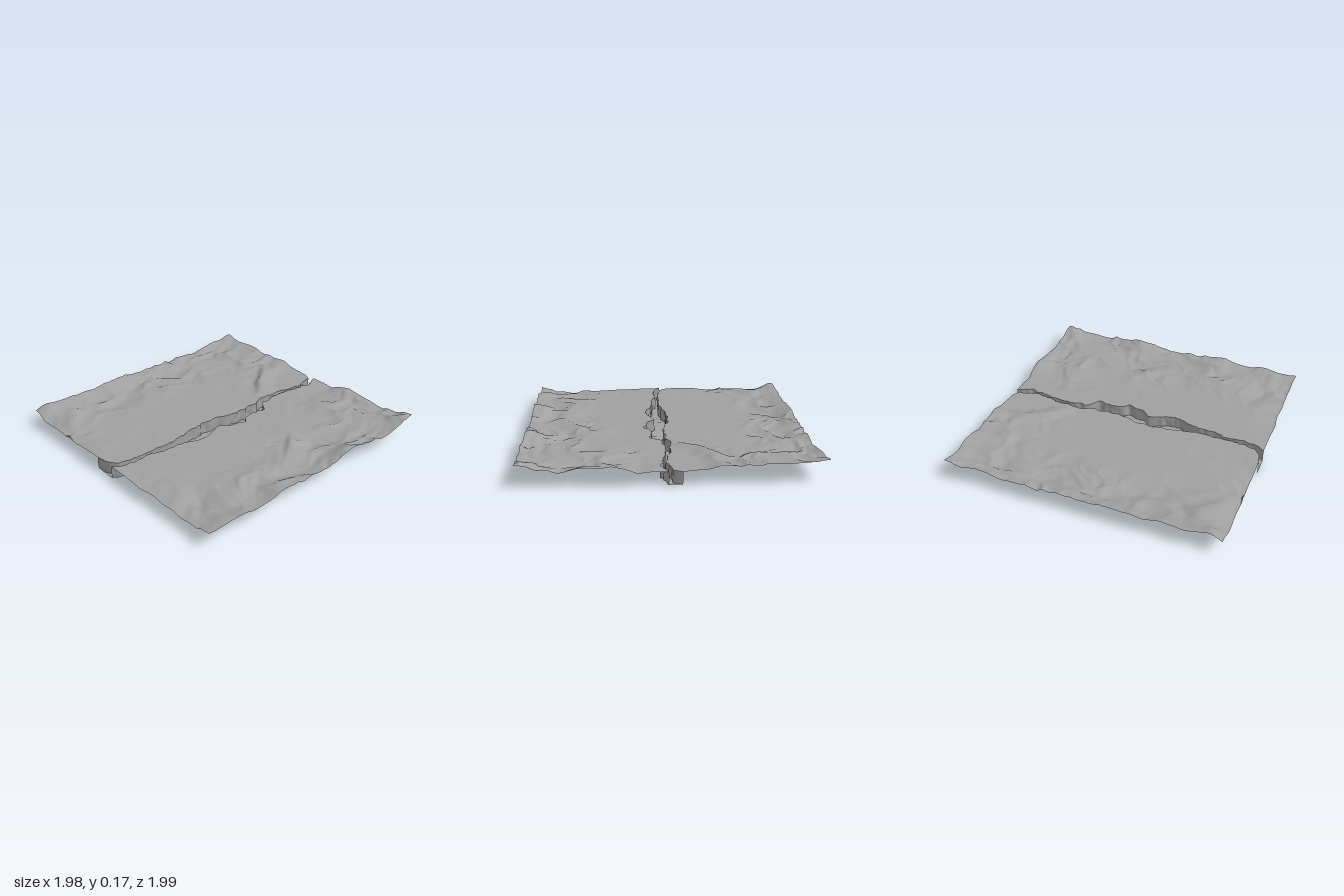
import * as THREE from 'three';

const ROWS = 180;
const smooth = (a, b, v) => THREE.MathUtils.smoothstep(v, a, b);

// Seeded lattice noise, roughly -1..1
function hash(i, j) {
  let h = Math.imul(i, 374761393) + Math.imul(j, 668265263);
  h = Math.imul(h ^ (h >>> 13), 1274126177);
  return ((h ^ (h >>> 16)) >>> 0) / 2147483648 - 1;
}
function noise(x, z) {
  const i = Math.floor(x), j = Math.floor(z);
  const u = smooth(0, 1, x - i), v = smooth(0, 1, z - j);
  const a = hash(i, j) * (1 - u) + hash(i + 1, j) * u;
  const b = hash(i, j + 1) * (1 - u) + hash(i + 1, j + 1) * u;
  return a * (1 - v) + b * v;
}
// Warped layers with creases, for an eroded look
function eroded(x, z) {
  const wx = x + 0.1 * noise(x * 5, z * 5 + 30), wz = z + 0.1 * noise(x * 5 + 50, z * 5);
  return noise(wx * 3.5, wz * 3.5) * 0.6 + (0.35 - Math.abs(noise(wx * 6 + 7, wz * 6))) * 0.7
    + noise(wx * 14, wz * 14 + 5) * 0.22 + noise(wx * 28, wz * 28) * 0.08;
}

// Canyon rims as [z, x] points
const LEFT_RIM = [[-0.99, -0.06], [-0.96, 0], [-0.83, 0.025], [-0.72, 0.01], [-0.61, -0.005], [-0.45, -0.03],
  [-0.35, 0.01], [-0.13, 0.01], [0.05, -0.035], [0.29, -0.025], [0.45, 0.015], [0.67, 0.005], [0.83, 0.005],
  [0.93, -0.025], [0.965, -0.06], [0.98, -0.17]];
const RIGHT_RIM = [[-0.99, 0.03], [-0.88, 0.065], [-0.72, 0.03], [-0.51, 0.022], [-0.4, 0.03], [-0.33, 0.115],
  [-0.19, 0.095], [-0.1, 0.145], [0.04, 0.12], [0.08, 0.065], [0.21, 0.12], [0.32, 0.12], [0.45, 0.08],
  [0.56, 0.065], [0.67, 0.04], [0.77, 0.045], [0.93, 0.03], [0.98, -0.015]];
function rimAt(points, z, seed) {
  let k = 0;
  while (k < points.length - 2 && z > points[k + 1][0]) k++;
  const [z0, x0] = points[k], [z1, x1] = points[k + 1];
  const t = THREE.MathUtils.clamp((z - z0) / (z1 - z0), 0, 1);
  return x0 + (x1 - x0) * t + 0.008 * noise(z * 22, seed) + 0.007 * noise(z * 55, seed + 9);
}
const leftRim = z => rimAt(LEFT_RIM, z, 3);
const rightRim = z => rimAt(RIGHT_RIM, z, 21);

// Sharp crest: steep on its left side, gentle on its right
function crest(x, z, ax, az, bx, bz, h) {
  const dx = bx - ax, dz = bz - az, len = Math.hypot(dx, dz);
  const t = ((x - ax) * dx + (z - az) * dz) / (len * len);
  if (t < 0 || t > 1) return 0;
  const d = ((x - ax) * dz - (z - az) * dx) / len + 0.012 * noise(t * 5, ax * 10);
  return h * Math.sin(Math.PI * t) ** 0.7 * (d < 0 ? smooth(-0.045, 0, d) : 1 - smooth(0, 0.14, d));
}
const bump = (x, z, cx, cz, r, h) => h * Math.exp(-((x - cx) ** 2 + (z - cz) ** 2) / (r * r));
function crater(x, z, cx, cz, r) {
  const d = Math.hypot(x - cx, z - cz) / r;
  return 0.0012 * Math.exp(-(((d - 1) / 0.2) ** 2)) - 0.002 * (1 - smooth(0.3, 1, d));
}

// Flat plain around the canyon, rough ground rising to the sides and back
function height(x, z) {
  const ax = Math.abs(x), wob = 0.08 * noise(x * 4 + 9, z * 4);
  const side = smooth(0.36, 0.66, (x < 0 ? -x - 0.08 : x) + wob);
  const back = smooth(0.4, 0.72, -z + wob) * smooth(0.04, 0.3, ax);
  const front = smooth(0.65, 0.95, z + wob) * smooth(0.08, 0.35, ax) * 0.8;
  const rough = Math.max(side, back, front);
  const edge = 0.03 * smooth(0.82, 1, ax) + 0.02 * smooth(0.85, 1, -z) * smooth(0.1, 0.4, ax)
    - 0.012 * smooth(0.8, 0.98, z) * smooth(0.1, 0.3, ax);
  return 0.106 + 0.031 * rough * eroded(x + 3, z + 8) + 0.004 * rough + edge
    + crest(x, z, -0.4, -0.83, -0.07, -0.45, 0.035)
    + crest(x, z, 0.48, -0.24, 0.78, 0.15, 0.026)
    + bump(x, z, 0.45, -0.2, 0.09, 0.012)
    + bump(x, z, -0.95, 0.9, 0.08, 0.04) + bump(x, z, 0.94, -0.3, 0.14, 0.035)
    + bump(x, z, 0.9, -0.93, 0.1, 0.035) + bump(x, z, 0.97, 0.33, 0.09, 0.02)
    + bump(x, z, -0.5, -0.85, 0.12, 0.015)
    + crater(x, z, -0.2, 0.58, 0.11) + crater(x, z, -0.32, -0.36, 0.08) + crater(x, z, 0.27, -0.09, 0.05);
}
const floorY = (x, z) => 0.017 + 0.008 * noise(x * 12, z * 9) + 0.003 * noise(x * 30, z * 40);

// Grid surface: at(u, z) gives a point, u running across and z along the canyon
function sheet(name, cols, at) {
  const geo = new THREE.PlaneGeometry(1, 1, cols, ROWS);
  const pos = geo.attributes.position;
  for (let k = 0; k < pos.count; k++) {
    const u = pos.getX(k) + 0.5, v = 0.5 - pos.getY(k);
    pos.setXYZ(k, ...at(u, -0.99 + 1.97 * v));
  }
  geo.computeVertexNormals();
  const mesh = new THREE.Mesh(geo, new THREE.MeshStandardMaterial({ color: 0xa0a0a0, side: THREE.DoubleSide }));
  mesh.name = name;
  return mesh;
}

// Ground point with slightly wavering front and back borders
function ground(x, z) {
  const waver = 0.01 * noise(x * 7, z > 0 ? 40 : 60) * smooth(0.8, 0.98, Math.abs(z)) * smooth(0.1, 0.4, Math.abs(x));
  return [x, height(x, z), z + waver];
}
const border = (z, s) => s * (0.983 + 0.01 * noise(z * 7, s * 31));

export function createModel() {
  const group = new THREE.Group();
  group.name = 'canyonTerrain';

  // Plains on both sides
  group.add(sheet('rightGround', 90, (u, z) => ground(THREE.MathUtils.lerp(border(z, -1), leftRim(z), u), z)));
  group.add(sheet('leftGround', 90, (u, z) => ground(THREE.MathUtils.lerp(rightRim(z), border(z, 1), u), z)));

  // Steep canyon walls
  const wall = (name, rim, flip) => sheet(name, 4, (u, z) => {
    const x = rim(z), t = flip ? 1 - u : u;
    const bulge = 0.006 * Math.sin(Math.PI * t) * noise(z * 40, t * 3);
    return [x + bulge, THREE.MathUtils.lerp(height(x, z), floorY(x, z), t), z];
  });
  group.add(wall('rightCanyonWall', leftRim, false));
  group.add(wall('leftCanyonWall', rightRim, true));

  // Canyon floor
  group.add(sheet('canyonFloor', 6, (u, z) => {
    const x = THREE.MathUtils.lerp(leftRim(z), rightRim(z), u);
    return [x, floorY(x, z), z];
  }));
  return group;
}
